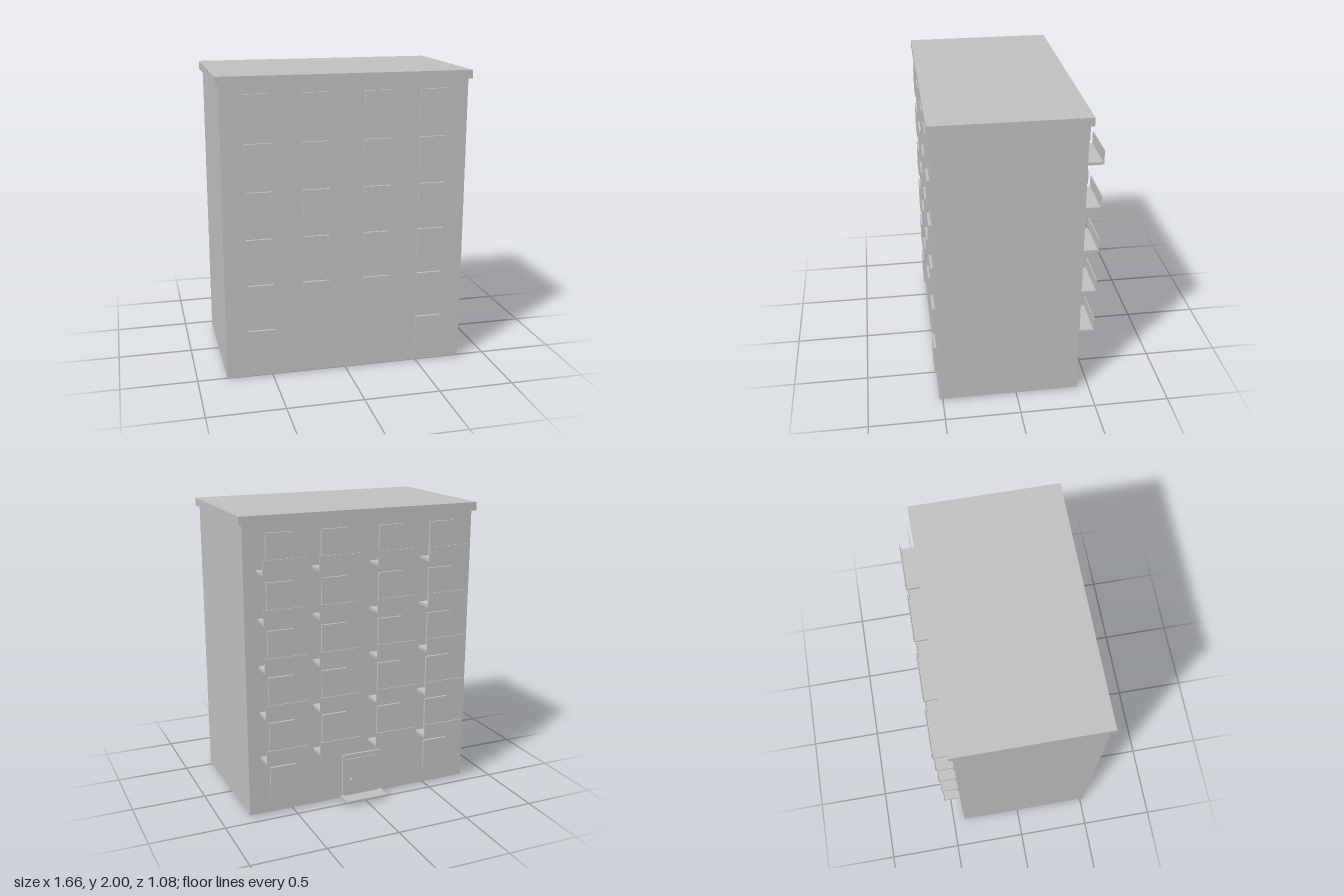
import * as THREE from 'three';

export function createModel() {
  const building = new THREE.Group();
  building.name = 'apartmentBlock';
  const grey = new THREE.MeshStandardMaterial({ color: 0xc0c0c0 });
  grey.name = 'concrete grey';

  // Box given by its minimum and maximum corners
  function box(name, [x0, y0, z0], [x1, y1, z1], parent = building) {
    const geometry = new THREE.BoxGeometry(x1 - x0, y1 - y0, z1 - z0);
    const mesh = new THREE.Mesh(geometry, grey);
    mesh.name = name;
    mesh.position.set((x0 + x1) / 2, (y0 + y1) / 2, (z0 + z1) / 2);
    parent.add(mesh);
    return mesh;
  }

  const front = 0.523, back = -0.418;
  const columns = [-0.573, -0.203, 0.203, 0.573];
  const outerColumns = [-0.573, 0.573];
  const halfWindow = 0.0875;
  const storey = 0.31;

  // Main block and overhanging roof slab
  box('walls', [-0.806, 0.015, back], [0.806, 1.945, front]);
  box('roof', [-0.829, 1.945, -0.442], [0.829, 2, 0.54]);

  // Ground floor windows, front and back
  for (const x of outerColumns) {
    box('frontWindow', [x - halfWindow, 0.136, front - 0.005], [x + halfWindow, 0.336, 0.54]);
    box('backWindow', [x - halfWindow, 0.136, back - 0.015], [x + halfWindow, 0.336, back + 0.005]);
  }

  // Upper floors: front windows, balcony doors and balconies
  for (let floor = 0; floor < 5; floor++) {
    const base = 0.405 + floor * storey;
    for (const x of columns) {
      box('frontWindow', [x - halfWindow, base + 0.043, front - 0.005], [x + halfWindow, base + 0.244, 0.54]);
      box('balconyDoor', [x - halfWindow, base + 0.01, back - 0.015], [x + halfWindow, base + 0.244, back + 0.005]);
      const balcony = new THREE.Group();
      balcony.name = 'balcony';
      building.add(balcony);
      box('balconySlab', [x - 0.147, base, -0.54], [x + 0.147, base + 0.018, back], balcony);
      box('balconyRail', [x - 0.147, base + 0.018, -0.54], [x + 0.147, base + 0.098, -0.534], balcony);
    }
  }

  // Rear entrance: frame, leaf, knob and step
  box('doorFrame', [-0.14, 0.005, back - 0.014], [0.14, 0.33, back + 0.005]);
  box('doorLeaf', [-0.125, 0.02, back - 0.019], [0.125, 0.3, back - 0.01]);
  box('doorStep', [-0.152, 0.016, -0.532], [0.152, 0.032, back]);
  const knob = new THREE.Mesh(new THREE.SphereGeometry(0.011, 16, 12), grey);
  knob.name = 'doorKnob';
  knob.position.set(0.08, 0.15, -0.445);
  building.add(knob);

  return building;
}
